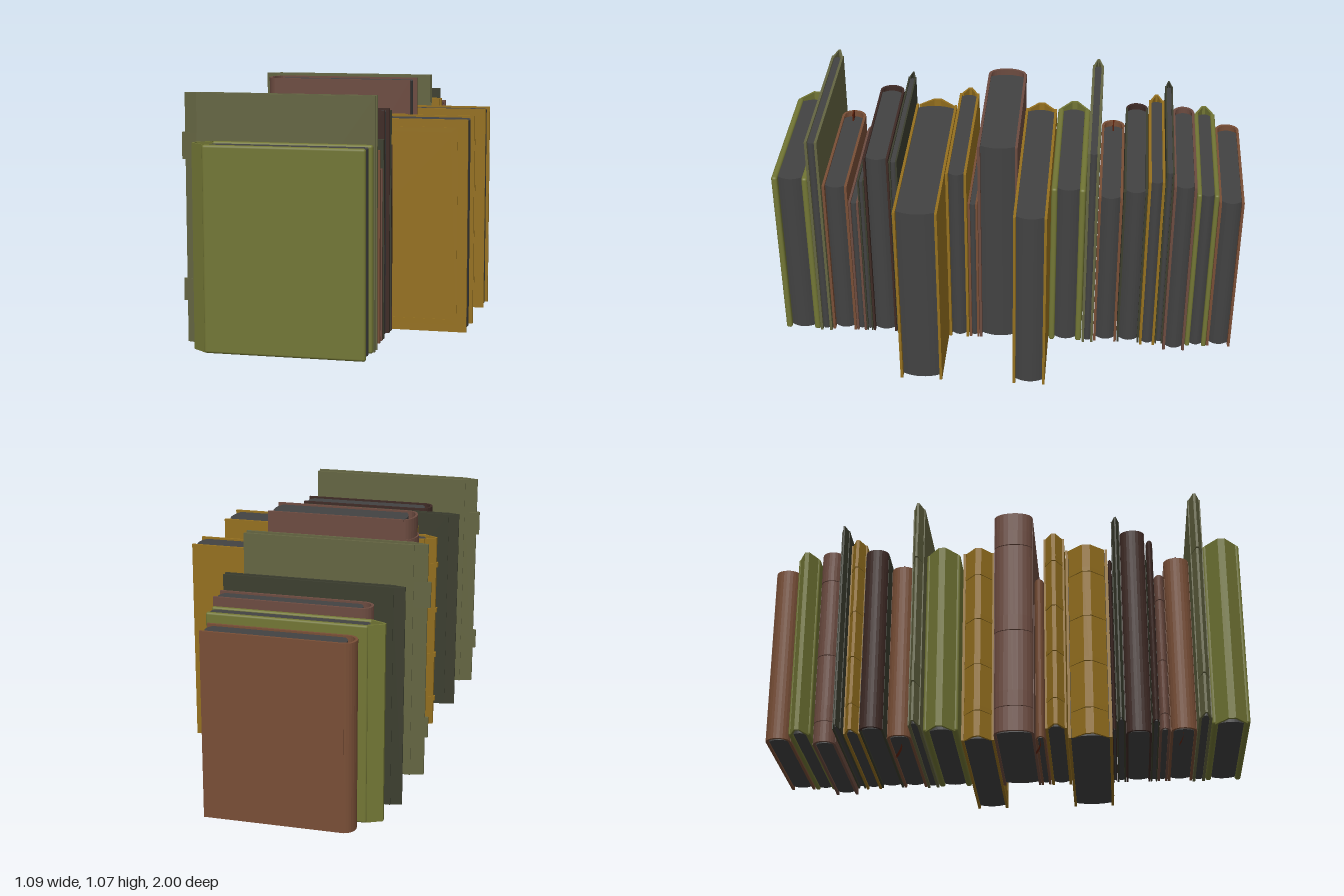
import * as THREE from 'three';
import { RoundedBoxGeometry } from 'three/addons/geometries/RoundedBoxGeometry.js';

const mat = (name, color) => {
  const m = new THREE.MeshStandardMaterial({ color, side: THREE.DoubleSide });
  m.name = name;
  return m;
};

// Extrudes an outline given as [x, z] points upwards from y0 to y1
function prism(points, y0, y1) {
  const shape = new THREE.Shape(points.map(([x, z]) => new THREE.Vector2(x, -z)));
  const g = new THREE.ExtrudeGeometry(shape, { depth: y1 - y0, bevelEnabled: false });
  g.rotateX(-Math.PI / 2);
  return g.translate(0, y0, 0);
}

// Half outline of a spine: a smooth arc or a faceted chevron, bulging towards -x
function spineCurve(xh, d, mid, h, round) {
  if (!round) {
    return [[xh, mid + h], [xh - d, mid + h * 0.22], [xh - d, mid - h * 0.22], [xh, mid - h]];
  }
  return Array.from({ length: 13 }, (_, i) => {
    const a = (i / 12) * Math.PI;
    return [xh - d * Math.sin(a), mid + h * Math.cos(a)];
  });
}

export function createModel() {
  const model = new THREE.Group();
  model.name = 'bookRow';

  const olive = mat('olive cloth', 0x727635);
  const sage = mat('sage cloth', 0x646542);
  const ochre = mat('ochre cloth', 0x95701f);
  const tan = mat('warm brown cloth', 0x784e36);
  const mauve = mat('dusty brown cloth', 0x6c4b40);
  const dark = mat('dark green cloth', 0x3c3e2f);
  const umber = mat('dark brown leather', 0x3e2a25);
  const paper = mat('grey paper', 0x424242);
  const red = mat('red brown ribbon', 0x5a200c);

  // Binding styles: cover, spine, board thickness, spine depth, spine form, raised bands [fraction, height]
  const styles = {
    olive: { cover: olive, spine: olive, t: 0.026, d: 0.06, round: false, bands: [] },
    sage: { cover: sage, spine: sage, t: 0.011, d: 0.055, round: false, bands: [[0.213, 0.09], [0.79, 0.108]] },
    tan: { cover: tan, spine: tan, t: 0.011, d: 0.04, round: true, bands: [] },
    ochre: { cover: ochre, spine: ochre, t: 0.011, d: 0.05, round: false, bands: [[0.14, 0.02], [0.38, 0.02], [0.62, 0.02], [0.86, 0.02]] },
    mauve: { cover: mauve, spine: mauve, t: 0.011, d: 0.042, round: true, bands: [[0.14, 0.07], [0.48, 0.07], [0.88, 0.07]] },
    dark: { cover: dark, spine: umber, t: 0.009, d: 0.04, round: true, bands: [] },
    slim: { cover: dark, spine: dark, t: 0.007, d: 0.045, round: false, bands: [] },
    umber: { cover: umber, spine: umber, t: 0.009, d: 0.035, round: true, bands: [] },
  };

  // style, z front, z back, y bottom, y top, spine x, fore-edge x, options
  const books = [
    ['olive', 1.0, 0.845, 0.05, 0.875, -0.47, 0.24],
    ['sage', 0.843, 0.79, 0.05, 1.062, -0.535, 0.243],
    ['tan', 0.787, 0.68, 0.05, 0.835, -0.385, 0.23, { ribbon: -0.32 }],
    ['mauve', 0.678, 0.635, 0.05, 0.755, -0.385, 0.23],
    ['dark', 0.633, 0.605, 0.05, 0.87, -0.48, 0.23],
    ['umber', 0.603, 0.497, 0.05, 0.985, -0.37, 0.23],
    ['slim', 0.495, 0.46, 0.05, 0.975, -0.51, 0.23],
    ['umber', 0.458, 0.442, 0.05, 0.83, -0.395, 0.23],
    ['ochre', 0.44, 0.258, 0.053, 0.938, -0.345, 0.543, { frame: true }],
    ['ochre', 0.256, 0.168, 0.05, 0.932, -0.46, 0.243],
    ['tan', 0.164, 0.122, 0.05, 0.782, -0.33, 0.24, { ribbon: -0.26 }],
    ['mauve', 0.12, -0.048, 0.05, 1.072, -0.405, 0.24],
    ['ochre', -0.05, -0.188, 0.053, 0.938, -0.345, 0.543, { frame: true }],
    ['olive', -0.19, -0.335, 0.05, 0.875, -0.47, 0.24],
    ['sage', -0.338, -0.388, 0.05, 1.062, -0.535, 0.243],
    ['tan', -0.39, -0.492, 0.05, 0.835, -0.385, 0.23, { ribbon: -0.26 }],
    ['dark', -0.495, -0.594, 0.05, 0.87, -0.48, 0.23],
    ['ochre', -0.596, -0.664, 0.05, 0.932, -0.46, 0.243],
    ['slim', -0.666, -0.7, 0.05, 0.975, -0.51, 0.23],
    ['mauve', -0.702, -0.798, 0.025, 0.91, -0.4, 0.24],
    ['olive', -0.8, -0.893, 0.05, 0.875, -0.47, 0.24],
    ['tan', -0.895, -1.0, 0.05, 0.835, -0.385, 0.23],
  ];

  books.forEach(([style, z1, z0, y0, y1, xs, xe, opts = {}], index) => {
    const s = styles[style];
    const book = new THREE.Group();
    book.name = `book${index + 1}`;
    model.add(book);
    const add = (name, geometry, material) => {
      const mesh = new THREE.Mesh(geometry, material);
      mesh.name = name;
      book.add(mesh);
      return mesh;
    };
    const mid = (z0 + z1) / 2, thick = z1 - z0, h = thick / 2;
    const t = Math.min(s.t, thick * 0.22);
    const xh = xs + s.d, width = xe - xh, height = y1 - y0;

    // Boards
    for (const side of [1, -1]) {
      const g = style === 'olive'
        ? new RoundedBoxGeometry(width, height, t, 3, t * 0.4)
        : new THREE.BoxGeometry(width, height, t);
      const board = add(side > 0 ? 'frontBoard' : 'backBoard', g, s.cover);
      board.position.set((xh + xe) / 2, (y0 + y1) / 2, mid + side * (h - t / 2));
    }

    // Page block with rounded fore-edge and back
    const ph = h - t, bulge = Math.min(0.018, ph * 0.5);
    const pages = [];
    for (let i = 0; i <= 8; i++) {
      const a = -1 + i / 4;
      pages.push([xe - 0.006 - bulge * a * a, mid - a * ph]);
    }
    for (let i = 0; i <= 8; i++) {
      const a = -1 + i / 4;
      pages.push([xh + bulge * a * a, mid + a * ph]);
    }
    add('pages', prism(pages, y0 + 0.008, y1 - 0.008), paper);

    // Hollow spine shell
    const sh = s.round ? h * 0.98 : h * 0.86;
    const wall = Math.min(0.011, thick * 0.2);
    const outer = spineCurve(xh + 0.004, s.d + 0.004, mid, sh, s.round);
    const inner = spineCurve(xh + 0.004, s.d + 0.004 - wall, mid, sh - wall, s.round);
    add('spine', prism([...outer, ...inner.reverse()], y0, y1), s.spine);

    // Raised bands across the spine
    for (const [f, bh] of s.bands) {
      const lift = style === 'sage' ? 0.014 : 0.007;
      const ridge = spineCurve(xh, s.d + lift, mid, sh, s.round);
      const base = spineCurve(xh, s.d - 0.004, mid, sh - 0.004, s.round);
      const y = y0 + f * height;
      add('spineBand', prism([...ridge, ...base.reverse()], y - bh / 2, y + bh / 2), s.spine);
    }

    // Raised border on the front board
    if (opts.frame) {
      const rect = (C, inset) => {
        const l = xh + inset, r = xe - inset, b = y0 + inset * 0.75, u = y1 - inset * 0.75;
        return new C([[l, b], [r, b], [r, u], [l, u]].map(([x, y]) => new THREE.Vector2(x, y)));
      };
      const border = rect(THREE.Shape, 0.042);
      border.holes.push(rect(THREE.Path, 0.07));
      const g = new THREE.ExtrudeGeometry(border, { depth: 0.002, bevelEnabled: false });
      add('coverBorder', g.translate(0, 0, z1), s.cover);
    }

    // Ribbon marker: a curved tail below and a short loop above the pages
    if (opts.ribbon) {
      const tail = new THREE.PlaneGeometry(0.032, 0.06, 1, 4);
      const p = tail.attributes.position;
      for (let i = 0; i < p.count; i++) {
        const k = 0.5 - p.getY(i) / 0.06;
        p.setXYZ(i, opts.ribbon + p.getX(i) - 0.012 * k + 0.006, 0.06 * (1 - k), mid - 0.02 * k * k);
      }
      tail.computeVertexNormals();
      add('ribbonTail', tail, red);
      const loop = new THREE.BoxGeometry(0.04, 0.035, 0.006);
      add('ribbonTop', loop, red).position.set(xh + 0.02, y1 + 0.008, mid);
    }
  });

  return model;
}
